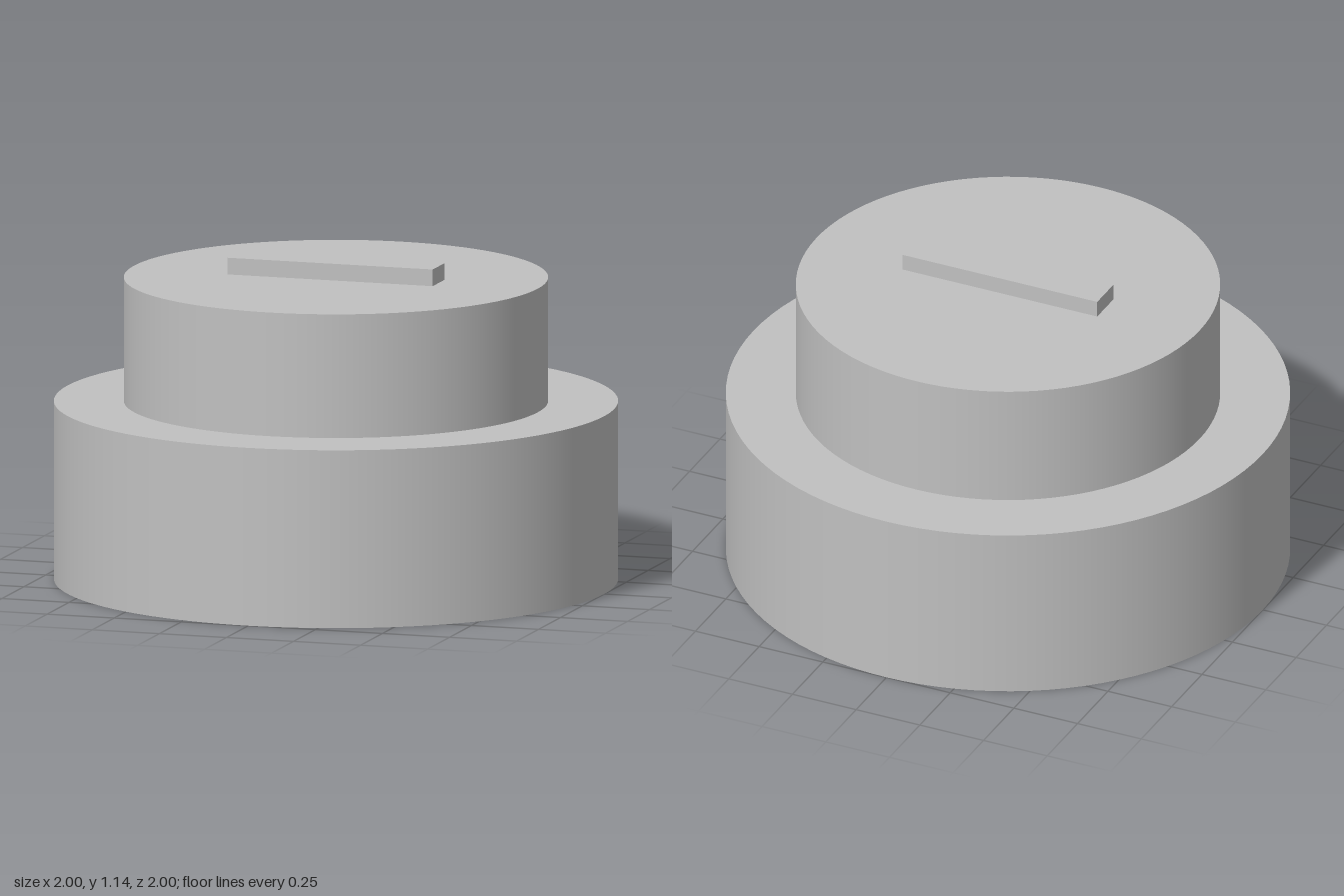
import * as THREE from 'three';

export function createModel() {
  const group = new THREE.Group();
  const grey = new THREE.MeshStandardMaterial({ color: 0xc0c0c0 });
  grey.name = 'grey';

  // Adds a part whose underside sits at the given height
  const add = (name, geometry, bottom, height) => {
    const mesh = new THREE.Mesh(geometry, grey);
    mesh.name = name;
    mesh.position.y = bottom + height / 2;
    group.add(mesh);
  };

  // Turned body: wide base with a narrower step on top
  add('base', new THREE.CylinderGeometry(1, 1, 0.64, 96), 0, 0.64);
  add('upperStep', new THREE.CylinderGeometry(0.752, 0.752, 0.445, 96), 0.64, 0.445);

  // Raised bar across the top
  add('topBar', new THREE.BoxGeometry(0.765, 0.06, 0.135), 1.085, 0.06);

  return group;
}
